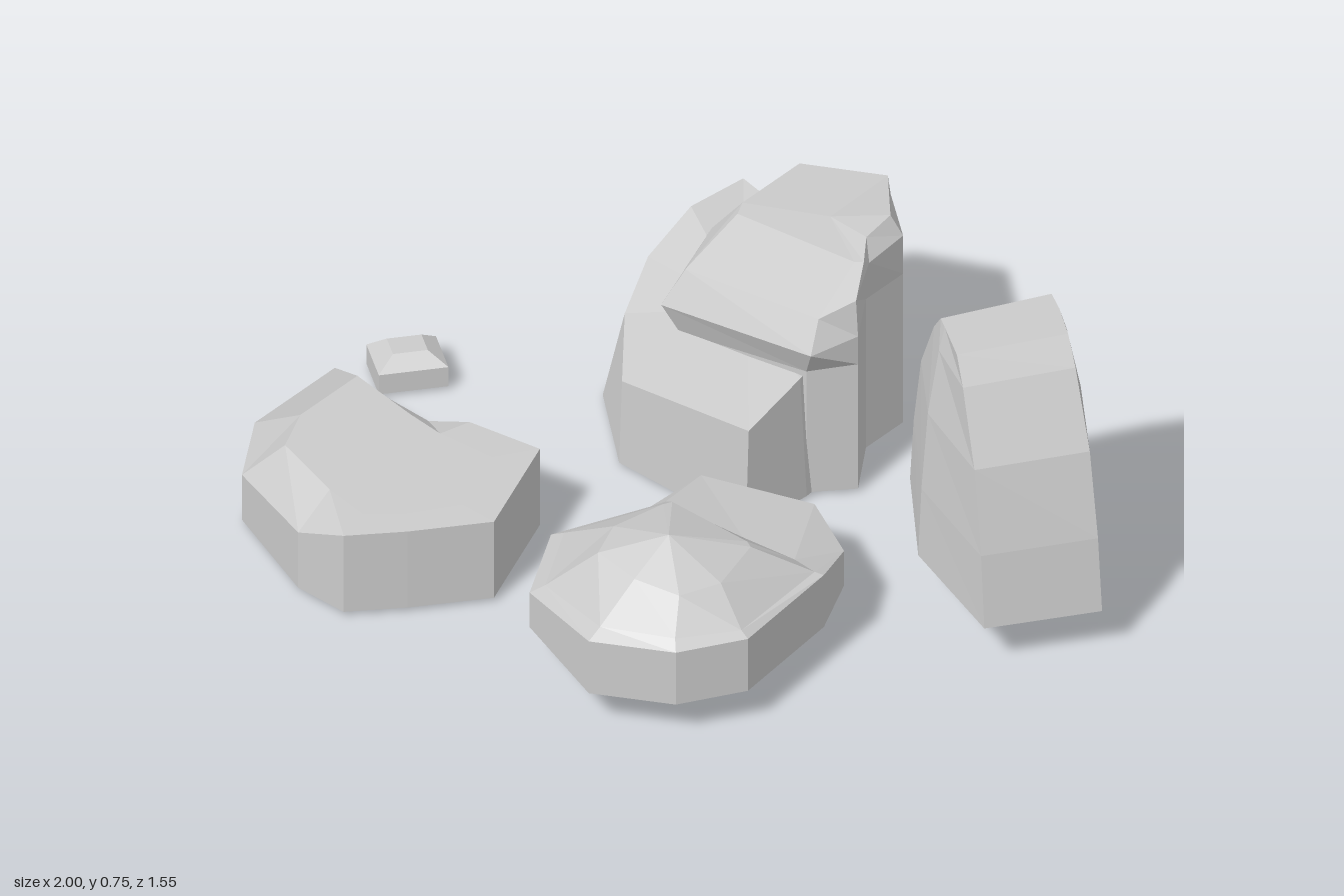
import * as THREE from 'three';

const material = new THREE.MeshStandardMaterial({ color: 0xcccccc, flatShading: true });

// Skins stacked rings of [x, y, z] points (listed bottom to top) and fans both ends shut.
function loft(name, rings, bottom, top) {
  const pos = [];
  const n = rings[0].length;
  const tri = (...pts) => pts.forEach((p) => pos.push(...p));
  const middle = (ring) => [0, 1, 2].map((k) => ring.reduce((s, p) => s + p[k], 0) / n);
  const first = rings[0], last = rings[rings.length - 1];
  const lo = bottom || middle(first), hi = top || middle(last);
  for (let i = 0; i < n; i++) {
    const j = (i + 1) % n;
    for (let r = 0; r + 1 < rings.length; r++) {
      const a = rings[r], b = rings[r + 1];
      tri(a[i], b[j], a[j]);
      tri(a[i], b[i], b[j]);
    }
    tri(lo, first[i], first[j]);
    tri(hi, last[j], last[i]);
  }
  const geo = new THREE.BufferGeometry();
  geo.setAttribute('position', new THREE.Float32BufferAttribute(pos, 3));
  geo.computeVertexNormals();
  const mesh = new THREE.Mesh(geo, material);
  mesh.name = name;
  return mesh;
}

// Lifts an outline of [x, z] points to one height, or to a height per point.
const ring = (outline, y) => outline.map(([x, z], i) => [x, Array.isArray(y) ? y[i] : y, z]);

// Blends two outlines.
const blend = (a, b, t) => a.map(([x, z], i) => [x + (b[i][0] - x) * t, z + (b[i][1] - z) * t]);

// Upright stone with curved, tapering sides
function standingStone() {
  const foot = [[0.33, -0.37], [0.48, -0.62], [0.76, -0.52], [1, -0.28], [0.84, -0.05], [0.54, -0.16]];
  const crown = [[0.53, -0.25], [0.66, -0.49], [0.71, -0.46], [0.79, -0.4], [0.65, -0.17], [0.56, -0.23]];
  const levels = [[0, 0.12], [0.12, 0.31], [0.36, 0.52], [0.78, 0.69], [1, 0.75]];
  return loft('standingStone', levels.map(([t, y]) => ring(blend(foot, crown, t), y)));
}

// Big boulder: a low ledge with a layered, overhanging block on it
function boulder() {
  const group = new THREE.Group();
  group.name = 'layeredBoulder';
  const base = [[-0.5, -0.74], [-0.35, -0.71], [-0.09, -0.77], [0.07, -0.63], [0.08, -0.5],
    [0.1, -0.27], [0.08, -0.08], [-0.31, -0.08], [-0.51, -0.25], [-0.58, -0.46], [-0.56, -0.6]];
  const shelf = [[-0.5, -0.73], [-0.35, -0.7], [-0.09, -0.75], [0.05, -0.62], [0.06, -0.5],
    [0.08, -0.27], [0.08, -0.09], [-0.31, -0.09], [-0.46, -0.27], [-0.52, -0.42], [-0.52, -0.57]];
  group.add(loft('ledge', [
    ring(base, 0.01),
    ring(shelf, [0.37, 0.37, 0.37, 0.37, 0.36, 0.34, 0.29, 0.24, 0.26, 0.31, 0.37]),
  ], [-0.38, 0, -0.2], [-0.2, 0.33, -0.4]));

  const foot = [[-0.33, -0.7], [-0.09, -0.78], [0.08, -0.63], [0.08, -0.5],
    [0.17, -0.37], [0.09, -0.28], [-0.3, -0.28], [-0.31, -0.45]];
  const brow = [[-0.35, -0.7], [-0.09, -0.78], [0.08, -0.63], [0.08, -0.5],
    [0.17, -0.37], [0.13, -0.25], [-0.33, -0.25], [-0.35, -0.45]];
  const shoulder = [[-0.34, -0.7], [-0.09, -0.78], [0.08, -0.63], [0.09, -0.5],
    [0.155, -0.38], [0.11, -0.3], [-0.3, -0.3], [-0.35, -0.45]];
  const crown = [[-0.3, -0.7], [-0.09, -0.77], [0.05, -0.62], [0.055, -0.53],
    [0.1, -0.47], [0.08, -0.46], [-0.28, -0.46], [-0.3, -0.5]];
  group.add(loft('overhang', [
    ring(foot, 0.01),
    ring(foot, [0.28, 0.32, 0.36, 0.36, 0.37, 0.36, 0.28, 0.28]),
    ring(brow, [0.36, 0.4, 0.44, 0.44, 0.45, 0.44, 0.36, 0.36]),
    ring(shoulder, [0.46, 0.5, 0.55, 0.55, 0.54, 0.51, 0.45, 0.46]),
    ring(crown, [0.53, 0.56, 0.6, 0.59, 0.575, 0.57, 0.53, 0.53]),
  ]));
  return group;
}

// Domed rock with a low shelf behind its peak
function domedRock() {
  const wall = [[0.03, 0.02], [0.3, -0.07], [0.47, 0.02], [0.54, 0.17], [0.57, 0.47],
    [0.48, 0.62], [0.3, 0.72], [0.03, 0.62], [-0.08, 0.42], [0.03, 0.21]];
  const rim = [[0.07, 0.19], [0.3, 0.18], [0.45, 0.17], [0.52, 0.18], [0.55, 0.47],
    [0.46, 0.6], [0.3, 0.68], [0.06, 0.6], [-0.04, 0.42], [0.06, 0.22]];
  const dome = [[0.17, 0.28], [0.3, 0.28], [0.4, 0.28], [0.42, 0.29], [0.46, 0.44],
    [0.42, 0.54], [0.3, 0.56], [0.17, 0.54], [0.13, 0.44], [0.16, 0.3]];
  return loft('domedRock', [
    ring(wall, 0.1),
    ring(wall, [0.2, 0.2, 0.2, 0.25, 0.25, 0.25, 0.25, 0.2, 0.2, 0.21]),
    ring(rim, [0.24, 0.245, 0.25, 0.255, 0.265, 0.27, 0.27, 0.225, 0.225, 0.24]),
    ring(dome, 0.34),
  ], null, [0.3, 0.4, 0.44]);
}

// Flat rock, bevelled on its left and notched behind
function flatRock() {
  const foot = [[-0.88, 0.22], [-0.55, 0.22], [-0.48, 0.25], [-0.29, 0.22], [-0.185, 0.5],
    [-0.31, 0.66], [-0.41, 0.77], [-0.55, 0.77], [-0.82, 0.66], [-0.88, 0.49]];
  const wall = foot.map((p) => [...p]);
  wall[0] = [-0.93, 0.21];
  wall[1] = [-0.58, 0.28];
  wall[9] = [-0.93, 0.49];
  const top = [[-0.79, 0.29], [-0.6, 0.32], [-0.5, 0.33], [-0.35, 0.32], [-0.28, 0.5],
    [-0.36, 0.62], [-0.43, 0.68], [-0.55, 0.66], [-0.74, 0.6], [-0.79, 0.49]];
  return loft('flatRock', [
    ring(foot, 0.01),
    ring(wall, [0.14, 0.2, 0.23, 0.23, 0.23, 0.23, 0.23, 0.17, 0.14, 0.14]),
    ring(top, 0.232),
  ]);
}

// Small bevelled pebble
function pebble() {
  const foot = [[-1, 0.02], [-0.9, -0.11], [-0.8, -0.04], [-0.9, 0.09]];
  const crown = blend(foot, foot.map(() => [-0.91, -0.02]), 0.5);
  return loft('pebble', [ring(foot, 0.01), ring(foot, 0.065), ring(crown, 0.093)]);
}

export function createModel() {
  const model = new THREE.Group();
  model.name = 'rockCluster';
  model.add(standingStone(), boulder(), domedRock(), flatRock(), pebble());
  return model;
}
